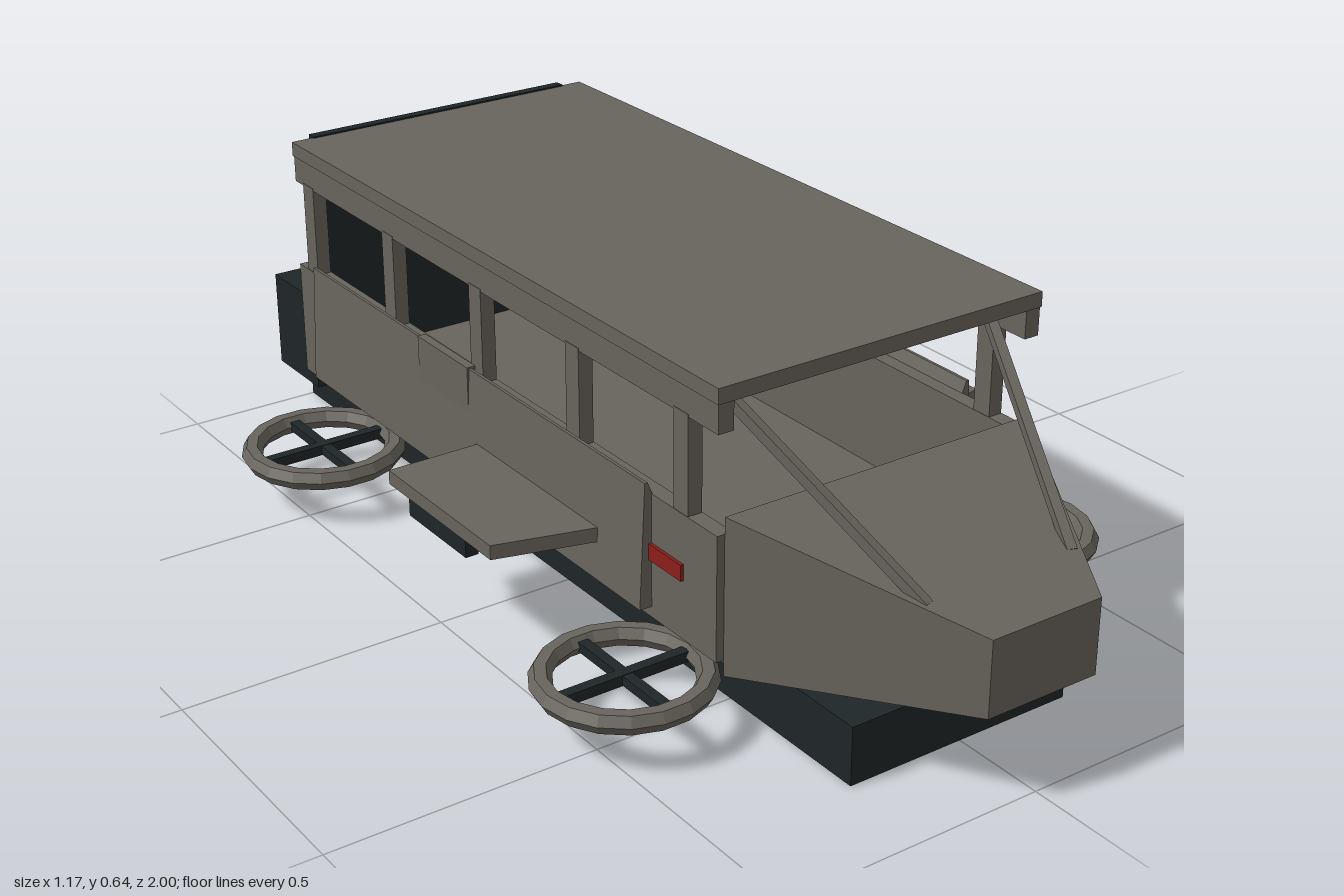
import * as THREE from 'three';

const paint = (color) => new THREE.MeshStandardMaterial({ color, flatShading: true });

export function createModel() {
  const model = new THREE.Group();
  const hull = paint(0x68645d), dark = paint(0x1f2628), red = paint(0x8a1f1a);

  const add = (name, geometry, material, parent = model) => {
    const mesh = new THREE.Mesh(geometry, material);
    mesh.name = name;
    parent.add(mesh);
    return mesh;
  };
  // Box given by its limits on each axis
  const block = (name, material, [x0, x1], [y0, y1], [z0, z1], parent) => {
    const mesh = add(name, new THREE.BoxGeometry(x1 - x0, y1 - y0, z1 - z0), material, parent);
    mesh.position.set((x0 + x1) / 2, (y0 + y1) / 2, (z0 + z1) / 2);
    return mesh;
  };
  // The same part on the left (+x) and right (-x); limits are for the left
  const pair = (name, material, [x0, x1], y, z) => {
    block(name + 'Left', material, [x0, x1], y, z);
    block(name + 'Right', material, [-x1, -x0], y, z);
  };
  const polygon = (points, depth) => new THREE.ExtrudeGeometry(
    new THREE.Shape(points.map(([x, y]) => new THREE.Vector2(x, y))), { depth, bevelEnabled: false });

  // Lower base, floor, roof and rear wall
  block('base', dark, [-0.23, 0.23], [0, 0.11], [-1, 0.82]);
  block('floor', hull, [-0.31, 0.31], [0.14, 0.17], [-0.8, 0.6]);
  block('roof', hull, [-0.335, 0.335], [0.612, 0.64], [-0.805, 0.6]);
  block('rearWall', dark, [-0.29, 0.29], [0.125, 0.643], [-0.82, -0.8]);

  // Side walls, roof rails and window posts
  pair('sideWall', hull, [0.305, 0.335], [0.155, 0.385], [-0.805, 0.6]);
  pair('roofRail', hull, [0.303, 0.333], [0.56, 0.613], [-0.803, 0.598]);
  for (let i = 0; i < 5; i++) {
    const z = 0.5 - i * 0.3125;
    pair('windowPost', hull, [0.306, 0.334], [0.38, 0.565], [z - 0.02, z + 0.02]);
  }

  // Tapered nose: a box whose front end is narrowed
  const nose = new THREE.BoxGeometry(2, 1, 0.4);
  const p = nose.attributes.position;
  for (let i = 0; i < p.count; i++) {
    const front = p.getZ(i) > 0, top = p.getY(i) > 0;
    const x = Math.sign(p.getX(i)) * (front ? 0.113 : 0.32);
    const y = front ? (top ? 0.315 : 0.175) : (top ? 0.415 : 0.125);
    p.setXYZ(i, x, y, front ? 1 : 0.6);
  }
  nose.computeVertexNormals();
  add('nose', nose, hull);

  for (const side of [1, -1]) {
    // Windscreen strut leaning from the roof to the nose
    const top = new THREE.Vector3(side * 0.28, 0.605, 0.52);
    const foot = new THREE.Vector3(side * 0.15, 0.335, 0.89);
    const strut = add('windscreenStrut', new THREE.BoxGeometry(0.018, 0.018, top.distanceTo(foot)), hull);
    strut.position.copy(top).add(foot).multiplyScalar(0.5);
    strut.lookAt(top);

    // Sloping armour panel on the flank
    const section = [[0.333, 0.175], [0.359, 0.175], [0.348, 0.407], [0.342, 0.407], [0.333, 0.385]]
      .map(([x, y]) => [side * x, y]);
    add('sidePanel', polygon(section, 1.14), hull).position.z = -0.72;

    // Short wing with a swept front edge
    const outline = [[0.335, 0.1], [0.535, 0.1], [0.535, -0.24], [0.335, -0.295]]
      .map(([x, y]) => [side * x, y]);
    const wing = add('wing', polygon(outline, 0.027), hull);
    wing.rotation.x = -Math.PI / 2;
    wing.position.y = 0.245;

    // Ring rotors with crossed spokes
    for (const z of [0.47, -0.57]) {
      const rotor = new THREE.Group();
      rotor.name = 'rotor';
      rotor.position.set(side * 0.425, 0.097, z);
      model.add(rotor);
      add('rotorRing', new THREE.TorusGeometry(0.139, 0.0205, 6, 18), hull, rotor).rotation.x = Math.PI / 2;
      block('spokeAcross', dark, [-0.13, 0.13], [-0.01, 0.01], [-0.01, 0.01], rotor);
      block('spokeAlong', dark, [-0.01, 0.01], [-0.009, 0.009], [-0.13, 0.13], rotor);
    }
  }

  // Flank hatches and lamps
  pair('hatch', hull, [0.335, 0.352], [0.275, 0.41], [-0.305, -0.13]);
  pair('sideLamp', red, [0.33, 0.341], [0.265, 0.295], [0.42, 0.51]);

  // Pods hanging under the wings
  pair('outerPod', dark, [0.505, 0.53], [0.207, 0.246], [-0.04, 0.15]);
  pair('innerPod', dark, [0.43, 0.453], [0.185, 0.235], [-0.01, 0.105]);
  pair('podMount', dark, [0.436, 0.447], [0.23, 0.246], [0.02, 0.07]);

  // Rear engine boxes and tail lamps
  pair('engineBox', dark, [0.16, 0.31], [0.105, 0.3], [-0.975, -0.81]);
  pair('tailLamp', red, [0.185, 0.285], [0.19, 0.212], [-0.982, -0.97]);

  return model;
}
